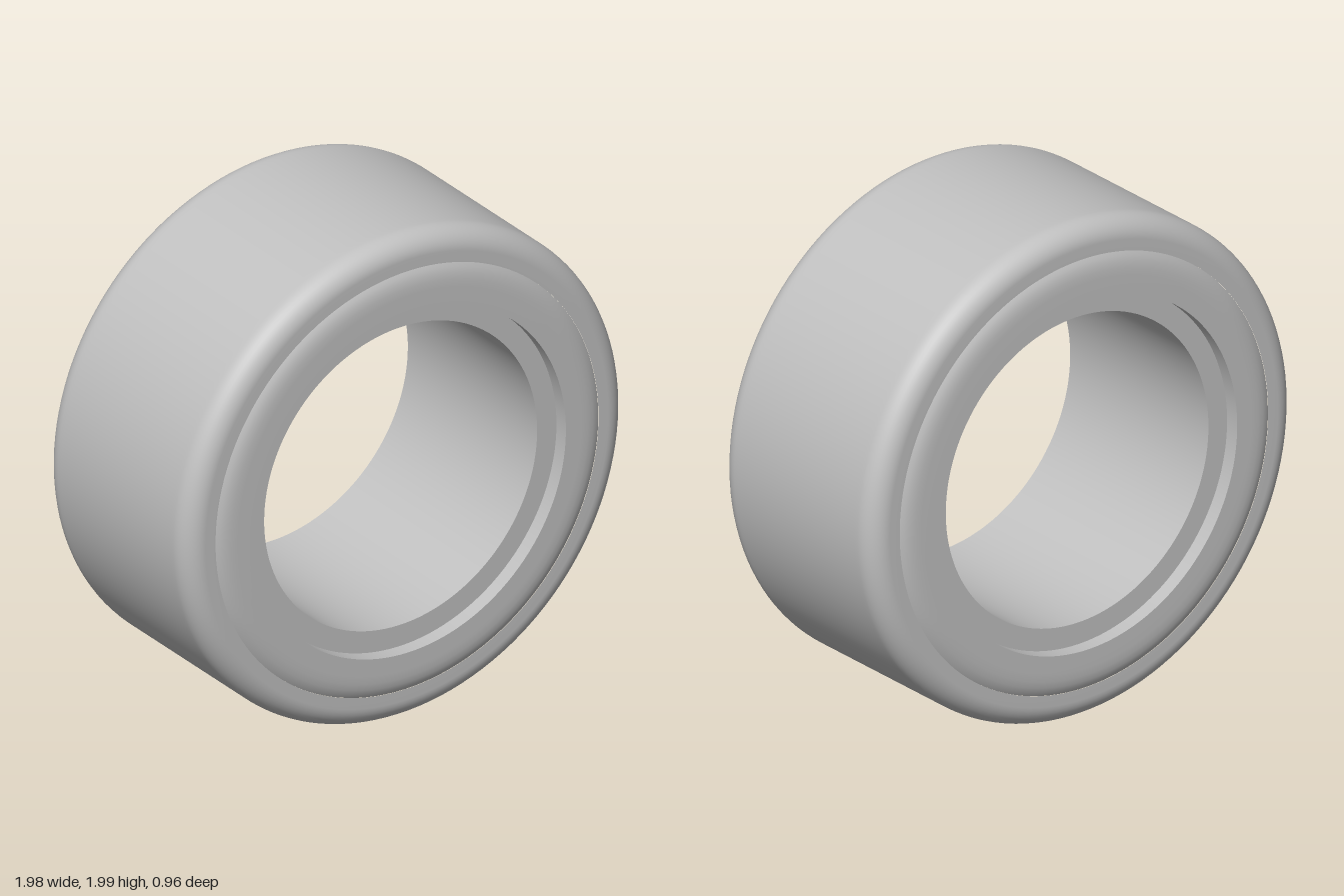
import * as THREE from 'three';

const TILT = 0.02;
const SEGMENTS = 128;

export function createModel() {
  const model = new THREE.Group();
  const rubber = new THREE.MeshStandardMaterial({ color: 0xc0c0c0 });
  rubber.name = 'light grey';

  const tyre = new THREE.Group();
  tyre.name = 'tyre';
  tyre.position.y = 1;
  tyre.rotation.x = TILT;
  model.add(tyre);

  // Spins a [radius, depth] profile round the z axis; each smooth piece ends at a sharp edge
  function spin(name, profile) {
    const points = profile.map(([r, z]) => new THREE.Vector2(r, z));
    const geometry = new THREE.LatheGeometry(points, SEGMENTS);
    geometry.rotateX(Math.PI / 2);
    const mesh = new THREE.Mesh(geometry, rubber);
    mesh.name = name;
    tyre.add(mesh);
  }

  // Same profile on the front and, reversed, on the back
  function spinBoth(name, profile) {
    spin(name + 'Front', profile);
    spin(name + 'Back', profile.map(([r, z]) => [r, -z]).reverse());
  }

  // Tread with rounded shoulders
  const shoulder = [];
  for (let i = 0; i <= 10; i++) {
    const a = (i / 10) * Math.PI / 2;
    shoulder.push([0.905 + 0.085 * Math.cos(a), 0.36 + 0.085 * Math.sin(a)]);
  }
  shoulder.push([0.86, 0.445]);
  const backShoulder = shoulder.map(([r, z]) => [r, -z]).reverse();
  spin('tread', [...backShoulder, [0.99, -0.34], [0.99, 0.34], ...shoulder]);

  // Raised sidewall ring with a softly bevelled outer edge
  spinBoth('sidewall', [
    [0.86, 0.443], [0.845, 0.452], [0.825, 0.459], [0.8, 0.463],
    [0.77, 0.464], [0.7, 0.464],
  ]);

  // Step down to the recessed bead
  spinBoth('recessWall', [[0.7, 0.464], [0.7, 0.405]]);
  spinBoth('bead', [[0.7, 0.405], [0.613, 0.405]]);

  // Open centre
  spin('bore', [[0.613, 0.405], [0.613, -0.405]]);

  return model;
}
